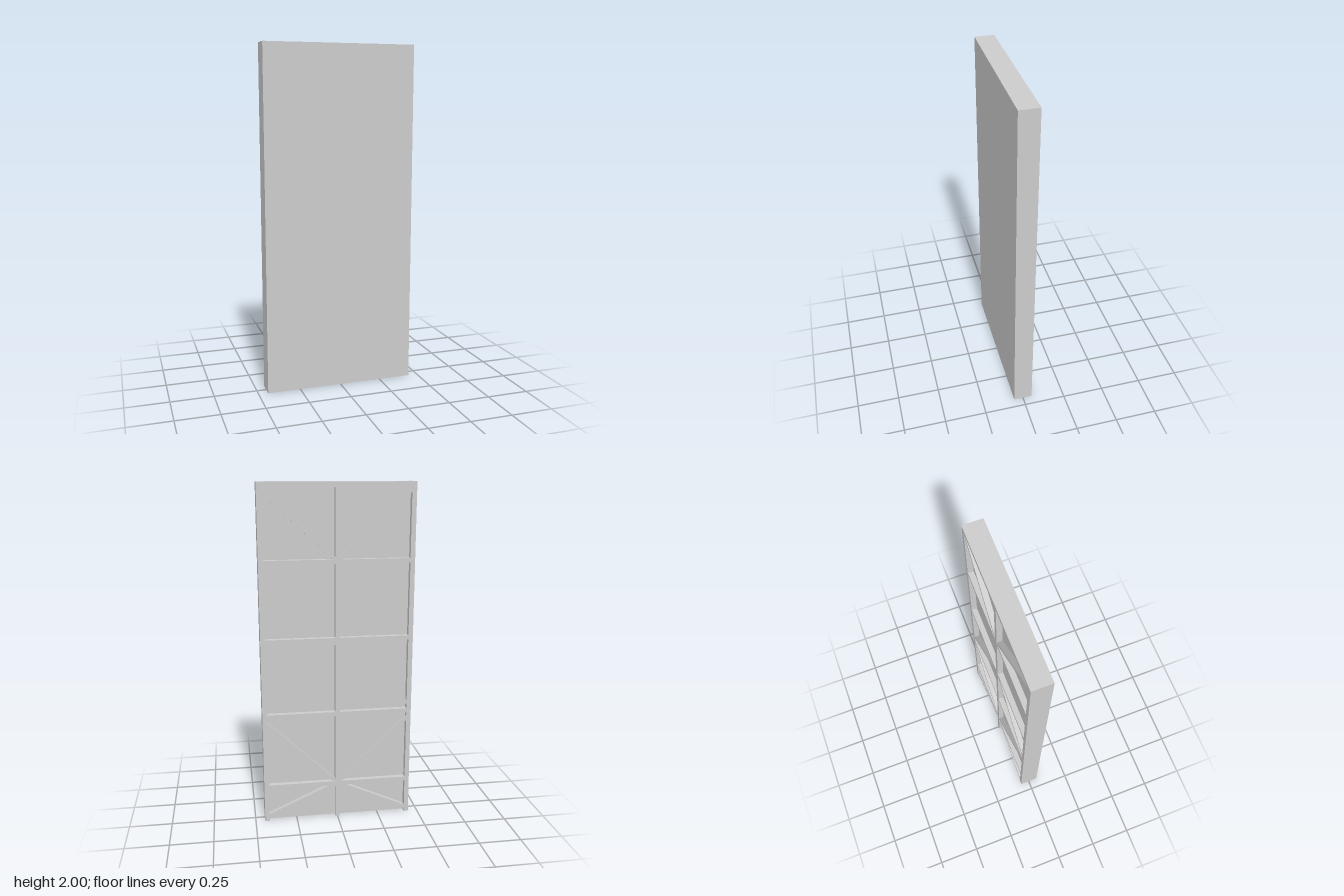
import * as THREE from 'three';

const W = 0.888, H = 2, D = 0.112;   // overall panel size
const RECESS = 0.033;                // depth of the ribbed back
const STILE = 0.027, RIB = 0.026, BRACE = 0.02;
const BACK = -D / 2, FLOOR = BACK + RECESS;

export function createModel() {
  const group = new THREE.Group();
  group.name = 'ribbedPanel';
  const material = new THREE.MeshStandardMaterial({ color: 0xcccccc, flatShading: true });

  // box centred on (x, y), running from z0 to z1
  const addBox = (name, w, h, x, y, z0, z1, angle = 0) => {
    const mesh = new THREE.Mesh(new THREE.BoxGeometry(w, h, z1 - z0), material);
    mesh.name = name;
    mesh.position.set(x, y, (z0 + z1) / 2);
    mesh.rotation.z = angle;
    group.add(mesh);
  };
  // ribs sink slightly into the slab
  const addRib = (name, w, h, x, y, inset = 0) =>
    addBox(name, w, h, x, y, BACK + inset, FLOOR + 0.005);
  const addBrace = (x0, y0, x1, y1) => addBox('diagonalBrace',
    Math.hypot(x1 - x0, y1 - y0), BRACE, (x0 + x1) / 2, (y0 + y1) / 2,
    BACK + 0.002, FLOOR + 0.005, Math.atan2(y1 - y0, x1 - x0));

  // solid front slab
  addBox('frontSlab', W, H, 0, H / 2, FLOOR, D / 2);

  // back frame, open along the bottom
  for (const s of [-1, 1]) addRib('sideStile', STILE, H, s * (W - STILE) / 2, H / 2);
  addRib('topRail', W - 2 * STILE, 0.03, 0, H - 0.015);

  // centre rib and cross ribs
  addRib('centreRib', RIB, H - 0.03, 0, (H - 0.03) / 2, 0.0005);
  const levels = [1.565, 1.115, 0.665, 0.22];
  for (const y of levels) addRib('crossRib', W - 2 * STILE, RIB, 0, y, 0.001);

  // mirrored braces fanning out from the crossings
  const edge = W / 2 - STILE + 0.005;
  for (const [from, to] of [[levels[0], 1.96], [levels[1], 0.71], [levels[3], 0.62], [levels[3], 0.03]])
    for (const s of [-1, 1]) addBrace(0, from, s * edge, to);

  return group;
}
